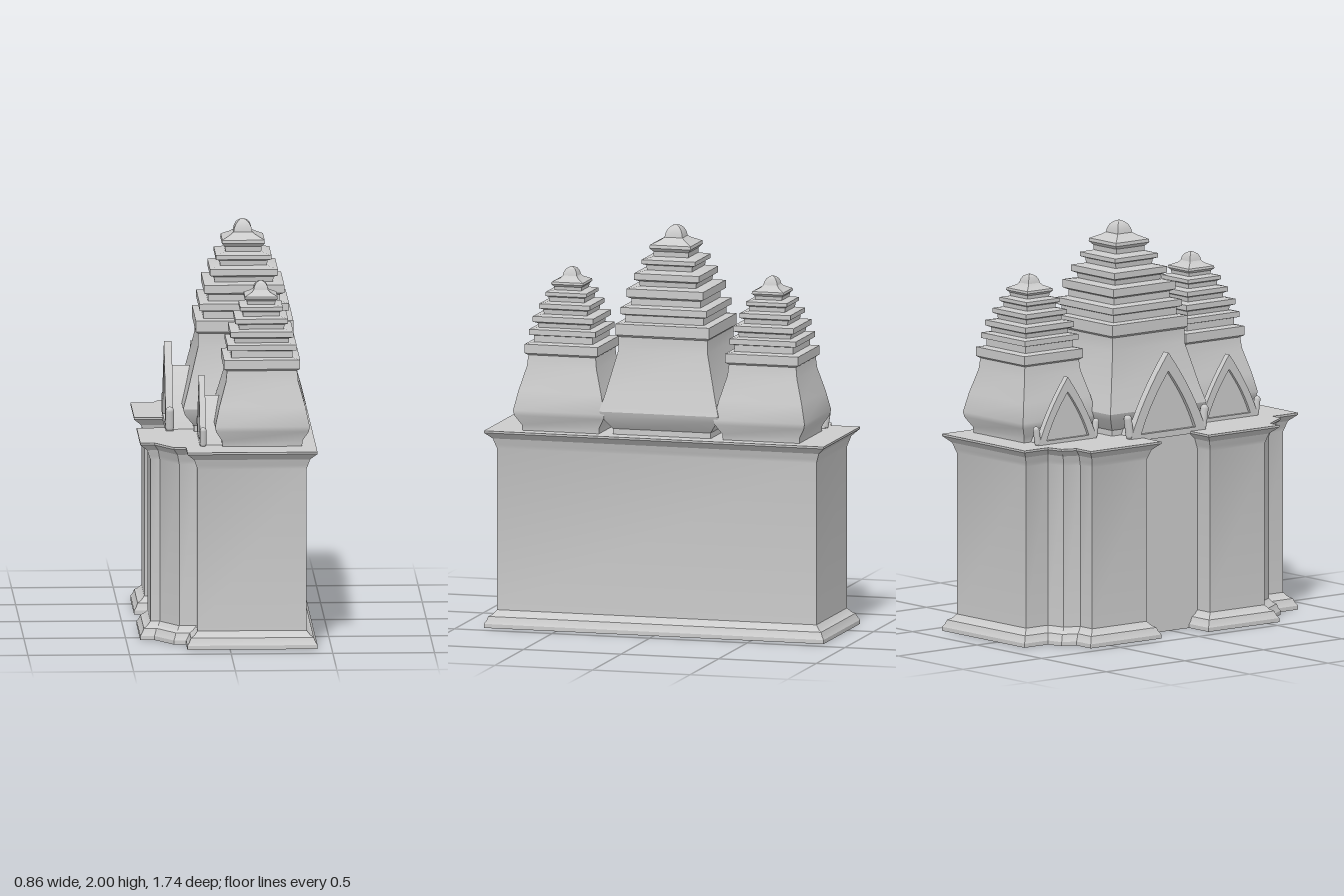
import * as THREE from 'three';
import { toCreasedNormals } from 'three/addons/utils/BufferGeometryUtils.js';

const stone = new THREE.MeshStandardMaterial({ color: 0xcccccc });

function add(parent, name, geometry, x = 0, y = 0, z = 0) {
  const mesh = new THREE.Mesh(geometry, stone);
  mesh.name = name;
  mesh.position.set(x, y, z);
  parent.add(mesh);
  return mesh;
}

// Moves a closed outline inwards by d with mitred corners
function inset(outline, d) {
  const n = outline.length;
  const normal = (a, b) => new THREE.Vector2(a.y - b.y, b.x - a.x).normalize();
  return outline.map((p, i) => {
    const n1 = normal(outline[(i + n - 1) % n], p);
    const n2 = normal(p, outline[(i + 1) % n]);
    return n1.clone().add(n2).multiplyScalar(d / (1 + n1.dot(n2))).add(p);
  });
}

// Stacks an outline (x, -z) along a profile of [height, inset], capped at both ends
function loft(outline, profile) {
  const rings = profile.map(([y, d]) => inset(outline, d).map((p) => [p.x, y, -p.y]));
  const n = outline.length;
  const v = [];
  for (let i = 0; i + 1 < rings.length; i++) {
    for (let j = 0; j < n; j++) {
      const k = (j + 1) % n;
      const [a, b, c, d] = [rings[i][j], rings[i][k], rings[i + 1][k], rings[i + 1][j]];
      v.push(...a, ...b, ...c, ...a, ...c, ...d);
    }
  }
  const top = rings[rings.length - 1];
  for (const [a, b, c] of THREE.ShapeUtils.triangulateShape(outline, [])) {
    v.push(...top[a], ...top[b], ...top[c], ...rings[0][a], ...rings[0][c], ...rings[0][b]);
  }
  const g = new THREE.BufferGeometry();
  g.setAttribute('position', new THREE.Float32BufferAttribute(v, 3));
  return toCreasedNormals(g, 0.5);
}

// Square tower from a profile of [height, half width]
function tower(parent, name, profile, x, z) {
  const square = [[1, -1], [1, 1], [-1, 1], [-1, -1]].map((p) => new THREE.Vector2(...p));
  add(parent, name, loft(square, profile.map(([y, w]) => [y, 1 - w])), x, 0, z);
}

// Outline of a pointed pediment with slightly bowed slopes
function pointed(path, w, h, y0 = 0) {
  path.moveTo(-w, y0);
  path.lineTo(w, y0);
  path.quadraticCurveTo(w * 0.68, y0 + (h - y0) * 0.5, 0, h);
  path.quadraticCurveTo(-w * 0.68, y0 + (h - y0) * 0.5, -w, y0);
  return path;
}

function slab(shape, depth) {
  const g = new THREE.ExtrudeGeometry(shape, { depth, bevelEnabled: false, curveSegments: 8 });
  return toCreasedNormals(g.rotateY(-Math.PI / 2), 0.5);
}

// Pediment with raised frame, horned ends and the short roof behind it
function pediment(parent, name, { x, z, w, h, thick, roofH, roofTo }) {
  const group = new THREE.Group();
  group.name = name;
  group.position.set(x, 0.97, z);
  const frame = pointed(new THREE.Shape(), w * 0.9, h);
  frame.holes.push(pointed(new THREE.Path(), w * 0.64, h * 0.78, 0.03));
  add(group, 'pedimentFrame', slab(frame, thick), thick);
  add(group, 'pedimentPanel', slab(pointed(new THREE.Shape(), w * 0.75, h * 0.88), thick * 0.5), thick);
  for (const s of [-1, 1]) {
    const horn = add(group, 'pedimentHorn', new THREE.CapsuleGeometry(thick * 0.55, h * 0.2, 4, 10),
      thick / 2, h * 0.17, s * w * 0.88);
    horn.rotation.x = s * 0.15;
  }
  const roof = pointed(new THREE.Shape(), w * 0.72, roofH);
  add(group, 'porchRoof', slab(roof, roofTo - x - thick * 0.6), roofTo - x);
  parent.add(group);
}

export function createModel() {
  const model = new THREE.Group();
  model.name = 'temple';

  // Body: stepped plan with moulded plinth and flaring cornice
  const plan = [
    [0.43, 0.87], [0.43, -0.87], [-0.21, -0.87], [-0.21, -0.72], [-0.29, -0.70], [-0.32, -0.63],
    [-0.43, -0.63], [-0.43, -0.18], [-0.2, -0.18], [-0.2, 0.12], [-0.43, 0.12], [-0.43, 0.57],
    [-0.36, 0.57], [-0.27, 0.71], [-0.21, 0.71], [-0.21, 0.87],
  ].map(([x, z]) => new THREE.Vector2(x, -z));
  add(model, 'body', loft(plan, [
    [0, 0], [0.02, 0], [0.035, 0.01], [0.055, 0.018], [0.065, 0.035], [0.085, 0.052],
    [0.89, 0.052], [0.91, 0.045], [0.94, 0.035], [0.965, 0.008], [0.972, 0], [0.982, 0],
  ]));

  // Plain wall at the back of the entrance recess
  add(model, 'entranceWall', new THREE.BoxGeometry(0.2, 0.976, 0.42), -0.18, 0.488, -0.03);

  // Central tower
  tower(model, 'centralTower', [
    [0.97, 0.25], [1.01, 0.25], [1.07, 0.295], [1.1, 0.305], [1.19, 0.28], [1.4, 0.228],
    [1.465, 0.228], [1.475, 0.24], [1.53, 0.24], [1.535, 0.2], [1.57, 0.2], [1.577, 0.22],
    [1.61, 0.22], [1.618, 0.177], [1.65, 0.177], [1.66, 0.197], [1.7, 0.197], [1.708, 0.143],
    [1.733, 0.147], [1.742, 0.167], [1.773, 0.167], [1.785, 0.115], [1.81, 0.118], [1.817, 0.137],
    [1.838, 0.137], [1.85, 0.088], [1.875, 0.09], [1.892, 0.106], [1.908, 0.104], [1.93, 0.06],
    [1.94, 0.046], [1.96, 0.042], [1.98, 0.033], [1.993, 0.02], [2, 0.006],
  ], 0.097, -0.017);

  // Two matching side towers
  for (const z of [0.497, -0.53]) {
    tower(model, 'sideTower', [
      [0.97, 0.195], [1.01, 0.198], [1.06, 0.228], [1.085, 0.233], [1.18, 0.212], [1.3, 0.178],
      [1.355, 0.172], [1.365, 0.187], [1.41, 0.187], [1.417, 0.15], [1.45, 0.15], [1.455, 0.17],
      [1.482, 0.17], [1.488, 0.132], [1.51, 0.135], [1.518, 0.155], [1.545, 0.155], [1.552, 0.11],
      [1.575, 0.113], [1.582, 0.13], [1.605, 0.13], [1.613, 0.09], [1.635, 0.092], [1.642, 0.105],
      [1.66, 0.105], [1.668, 0.068], [1.685, 0.07], [1.697, 0.082], [1.708, 0.08], [1.725, 0.045],
      [1.735, 0.036], [1.752, 0.032], [1.768, 0.023], [1.778, 0.006],
    ], 0.165, z);
    pediment(model, 'sidePediment',
      { x: -0.14, z: z - 0.007, w: 0.21, h: 0.335, thick: 0.03, roofH: 0.235, roofTo: 0.08 });
  }
  pediment(model, 'centralPediment',
    { x: -0.29, z: -0.02, w: 0.27, h: 0.42, thick: 0.038, roofH: 0.3, roofTo: 0 });

  // Centre on the ground plane
  return model;
}
